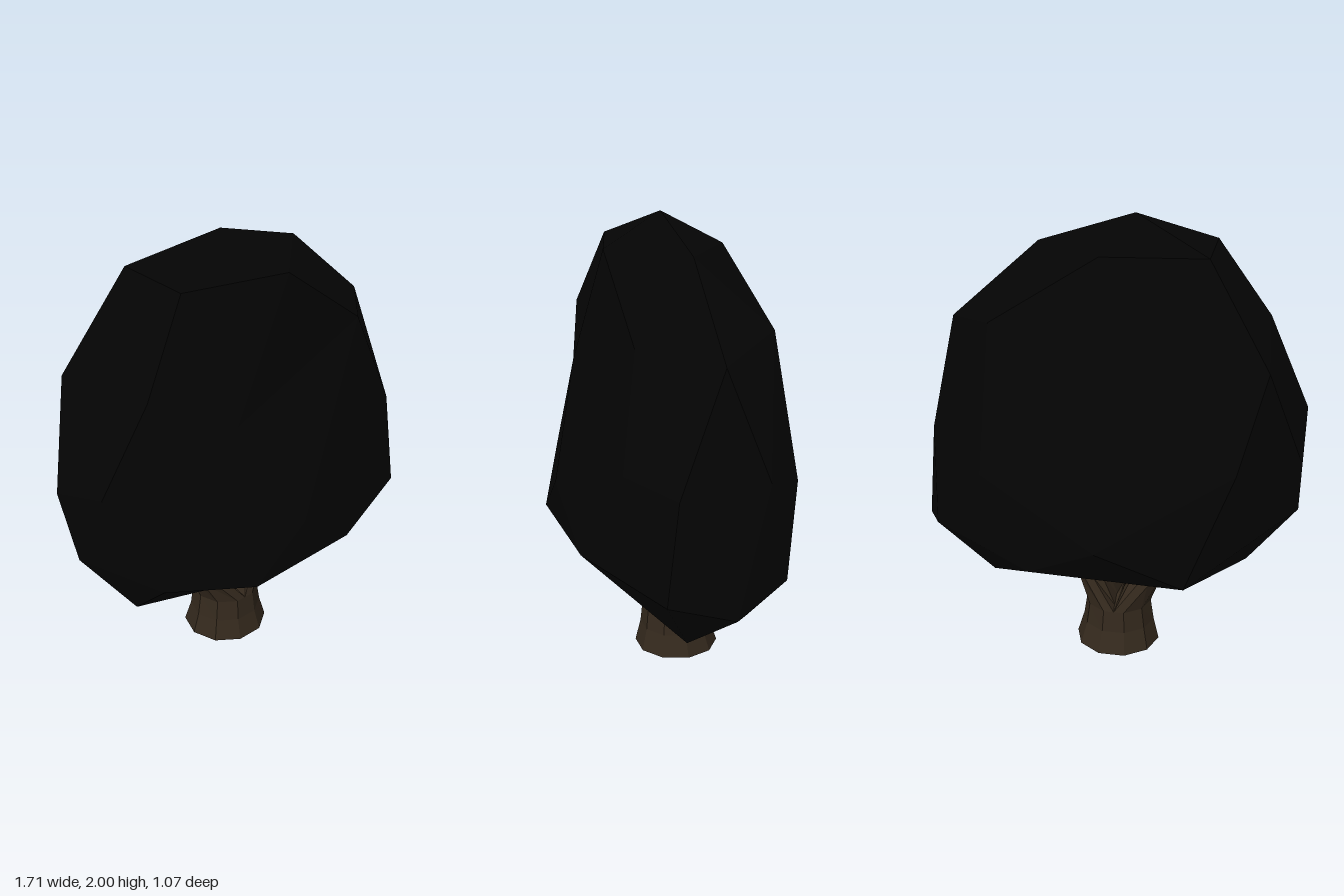
import * as THREE from 'three';
import { ConvexGeometry } from 'three/addons/geometries/ConvexGeometry.js';

const foliage = new THREE.MeshStandardMaterial({ color: 0x040404, flatShading: true });
foliage.name = 'dark foliage';
const bark = new THREE.MeshStandardMaterial({ color: 0x34291d, flatShading: true });
bark.name = 'brown bark';

// Corners of the crown, band by band from the top down
const crownTop = [[-0.11, 2, 0.04], [0.3, 1.87, 0.03], [0, 1.87, 0.32],
  [-0.44, 1.87, 0.2], [-0.44, 1.87, -0.15], [0, 1.87, -0.2]];
const crownUpper = [[0.69, 1.52, 0.03], [0.45, 1.59, -0.26], [-0.705, 1.44, -0.25],
  [-0.675, 1.52, 0.28], [-0.32, 1.33, 0.385], [0.42, 1.55, 0.31]];
const crownMiddle = [[0.75, 1.06, -0.14], [0.48, 0.95, -0.37], [0.05, 1.15, -0.46], [-0.6, 1.06, -0.43],
  [-0.855, 1, -0.12], [-0.86, 1.13, 0.21], [-0.57, 0.85, 0.42], [-0.08, 0.85, 0.535],
  [0.47, 1.05, 0.38], [0.735, 1.02, 0.23]];
const crownLower = [[0.85, 0.545, 0.03], [0.73, 0.63, -0.225], [-0.04, 0.71, -0.535],
  [-0.85, 0.73, 0], [-0.67, 0.66, 0.33], [-0.34, 0.64, 0.53], [0.22, 0.62, 0.5], [0.75, 0.59, 0.285]];
const crownUnderside = [[0.28, 0.51, -0.38], [-0.4, 0.51, -0.41], [-0.63, 0.415, 0.08],
  [-0.15, 0.475, 0.33], [0.56, 0.32, 0.14], [0.5, 0.37, -0.14], [-0.15, 0.47, -0.08]];

// Joins corners into a faceted skin: the hull of their directions on a sphere
// gives the triangles, so the skin may dip inwards at its true corners
function facetedSkin(corners) {
  const directions = corners.map(([x, y, z]) =>
    new THREE.Vector3(x / 0.85, (y - 1.1) / 0.85, z / 0.5).normalize());
  const geo = new ConvexGeometry(directions);
  const pos = geo.attributes.position;
  const p = new THREE.Vector3();
  for (let i = 0; i < pos.count; i++) {
    p.fromBufferAttribute(pos, i);
    const index = directions.findIndex((d) => d.distanceTo(p) < 1e-4);
    pos.setXYZ(i, ...corners[index]);
  }
  geo.computeVertexNormals();
  return geo;
}

// Oval ring between x and z limits at height y, tilted sideways by tilt
function ring(y, x0, x1, z0, z1, tilt = 0) {
  return Array.from({ length: 10 }, (_, i) => {
    const a = (i / 10) * Math.PI * 2;
    const px = -Math.cos(a), pz = -Math.sin(a);
    return [(x0 + x1) / 2 + px * (x1 - x0) / 2, y + tilt * px, (z0 + z1) / 2 + pz * (z1 - z0) / 2];
  });
}

// Skins rings listed from top to bottom and closes both ends on a point
function loft(name, top, rings, bottom) {
  const n = rings[0].length;
  const loops = [Array(n).fill(top), ...rings, Array(n).fill(bottom)];
  const pos = [];
  for (let i = 0; i < loops.length - 1; i++) {
    for (let j = 0; j < n; j++) {
      const k = (j + 1) % n;
      const a = loops[i][j], b = loops[i][k], c = loops[i + 1][j], d = loops[i + 1][k];
      if (i > 0) pos.push(...a, ...b, ...c);
      if (i < loops.length - 2) pos.push(...b, ...d, ...c);
    }
  }
  const geo = new THREE.BufferGeometry();
  geo.setAttribute('position', new THREE.Float32BufferAttribute(pos, 3));
  geo.computeVertexNormals();
  const mesh = new THREE.Mesh(geo, bark);
  mesh.name = name;
  return mesh;
}

export function createModel() {
  const tree = new THREE.Group();
  tree.name = 'tree';

  // Faceted crown, hollowed slightly underneath
  const crown = new THREE.Mesh(
    facetedSkin([...crownTop, ...crownUpper, ...crownMiddle, ...crownLower, ...crownUnderside]), foliage);
  crown.name = 'crown';
  tree.add(crown);

  // Flared trunk
  const forkX = -0.055;
  const trunkTop = ring(0.2, -0.205, 0.095, -0.155, 0.145);
  tree.add(loft('trunk', [forkX, 0.22, -0.01], [
    trunkTop,
    ring(0.1, -0.22, 0.11, -0.165, 0.155),
    ring(0, -0.245, 0.14, -0.2, 0.18),
  ], [forkX, 0, -0.01]));

  // Forked branches, each growing from one half of the trunk top into the crown
  tree.add(loft('rightBranch', [-0.32, 0.53, -0.01], [
    ring(0.51, -0.4, -0.25, -0.08, 0.06, 0.04),
    ring(0.44, -0.35, -0.19, -0.09, 0.07, 0.03),
    ring(0.335, -0.25, -0.115, -0.115, 0.1, 0.02),
    trunkTop.map(([x, y, z]) => [Math.min(x, forkX), y, z]),
  ], [-0.12, 0.18, -0.01]));
  tree.add(loft('leftBranch', [0.2, 0.49, -0.01], [
    ring(0.46, 0.13, 0.27, -0.08, 0.06, -0.04),
    ring(0.41, 0.07, 0.21, -0.09, 0.07, -0.03),
    ring(0.355, 0.01, 0.135, -0.11, 0.09, -0.01),
    trunkTop.map(([x, y, z]) => [Math.max(x, forkX), y, z]),
  ], [0.01, 0.18, -0.01]));

  return tree;
}
